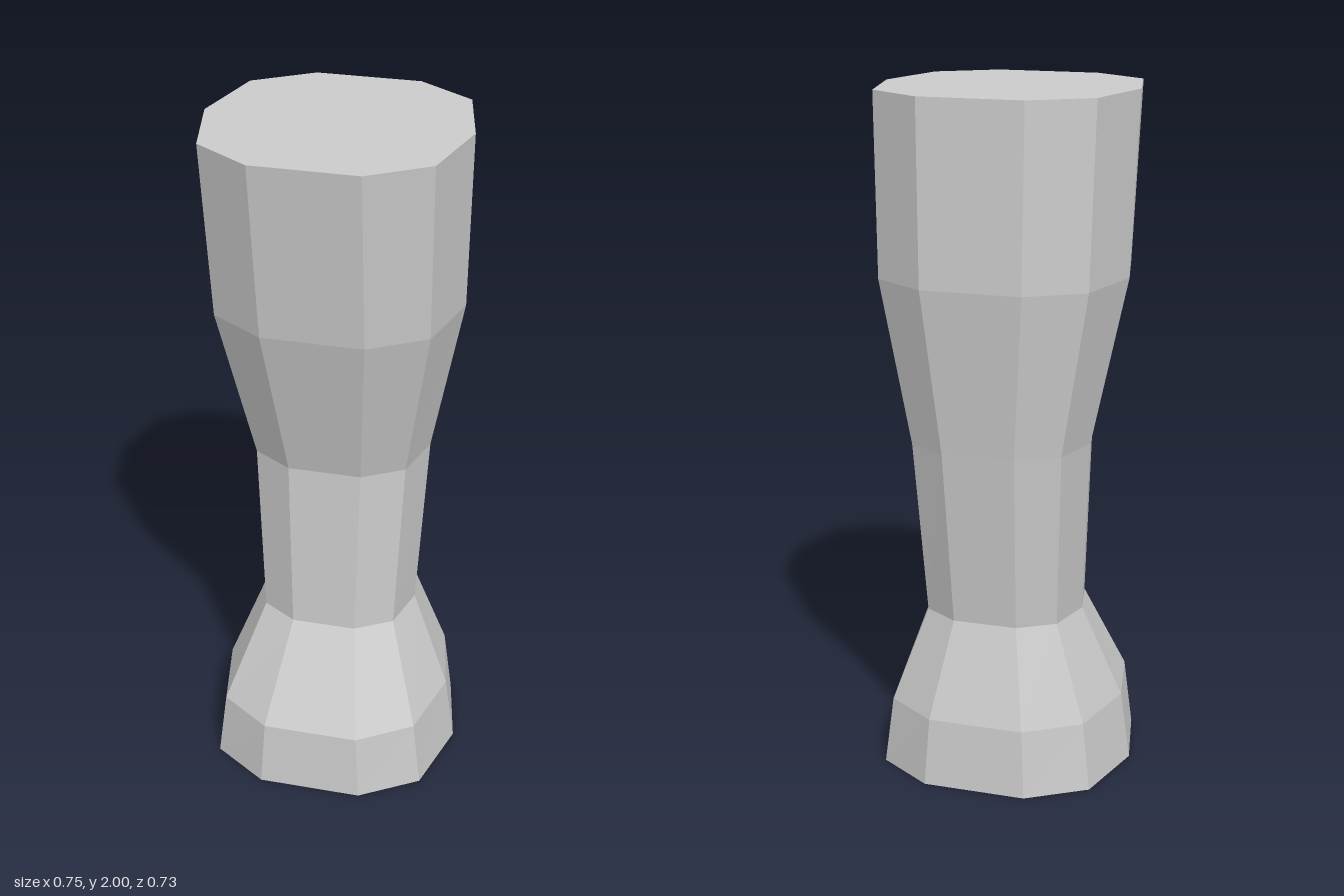
import * as THREE from 'three';

// Ten-sided cross-section in unit half-width (x) and half-depth (z)
const SECTION = [
  [1, 0], [0.85, -0.69], [0.407, -1], [-0.407, -1], [-0.85, -0.69],
  [-1, 0], [-0.85, 0.69], [-0.407, 1], [0.407, 1], [0.85, 0.69],
];

// Rings from foot to top: height, half-width, front z, back z
const RINGS = [
  [0, 0.373, 0.364, -0.356],
  [0.2, 0.345, 0.352, -0.341],
  [0.48, 0.232, 0.181, -0.249],
  [1, 0.261, 0.166, -0.306],
  [1.48, 0.358, 0.298, -0.364],
  [2, 0.373, 0.364, -0.357],
];

// Lofts the section through all rings and closes both ends
function loft(rings, section) {
  const n = section.length;
  const positions = [];
  const indices = [];
  for (const [y, halfWidth, front, back] of rings) {
    const centre = (front + back) / 2;
    const halfDepth = (front - back) / 2;
    for (const [x, z] of section) positions.push(x * halfWidth, y, centre + z * halfDepth);
  }
  for (let r = 0; r < rings.length - 1; r++) {
    for (let i = 0; i < n; i++) {
      const a = r * n + i;
      const b = r * n + (i + 1) % n;
      indices.push(a, b, b + n, a, b + n, a + n);
    }
  }
  const top = (rings.length - 1) * n;
  for (let i = 1; i < n - 1; i++) {
    indices.push(0, i + 1, i); // underside
    indices.push(top, top + i, top + i + 1); // top face
  }
  const indexed = new THREE.BufferGeometry();
  indexed.setAttribute('position', new THREE.Float32BufferAttribute(positions, 3));
  indexed.setIndex(indices);
  const geometry = indexed.toNonIndexed();
  geometry.computeVertexNormals();
  return geometry;
}

export function createModel() {
  const group = new THREE.Group();
  group.name = 'waistedColumn';
  const material = new THREE.MeshStandardMaterial({ color: 0xcccccc, flatShading: true });
  const body = new THREE.Mesh(loft(RINGS, SECTION), material);
  body.name = 'columnBody';
  group.add(body);
  return group;
}
